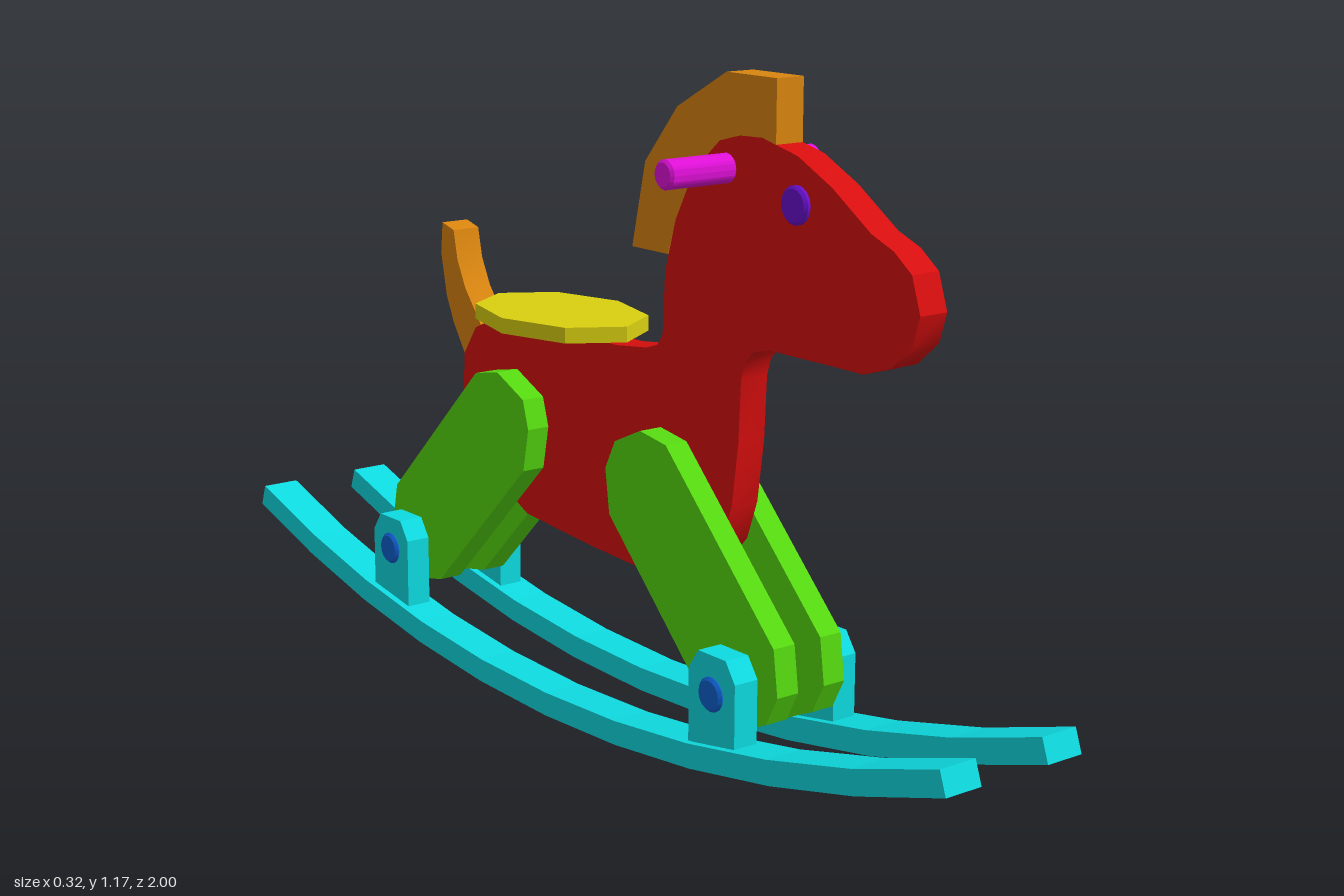
import * as THREE from 'three';
import { toCreasedNormals } from 'three/addons/utils/BufferGeometryUtils.js';

const paint = (color) => new THREE.MeshStandardMaterial({ color });
const RED = paint(0xd80e0e), CYAN = paint(0x0edbe0), GREEN = paint(0x55d810), YELLOW = paint(0xd8d010);
const ORANGE = paint(0xd9850f), MAGENTA = paint(0xe010d8), PURPLE = paint(0x6a10d0), BLUE = paint(0x1060d0);

// Board cut from a side outline of [z, y] points, standing between x0 and x1
function board(name, points, x0, x1, material, crease = 0.6) {
  const shape = new THREE.Shape(points.map(([z, y]) => new THREE.Vector2(z, y)));
  const geo = new THREE.ExtrudeGeometry(shape, { depth: x1 - x0, bevelEnabled: false });
  geo.rotateY(-Math.PI / 2).translate(x1, 0, 0);
  const mesh = new THREE.Mesh(toCreasedNormals(geo, crease), material);
  mesh.name = name;
  return mesh;
}

// Round peg lying across the toy, with chamfered ends
function peg(name, radius, x0, x1, y, z, material, sides = 16) {
  const h = (x1 - x0) / 2, c = 0.005;
  const profile = [[0, -h], [radius - c, -h], [radius, c - h], [radius, h - c], [radius - c, h], [0, h]];
  const geo = new THREE.LatheGeometry(profile.map(([r, t]) => new THREE.Vector2(r, t)), sides);
  geo.rotateZ(-Math.PI / 2);
  const mesh = new THREE.Mesh(toCreasedNormals(geo, 0.5), material);
  mesh.position.set((x0 + x1) / 2, y, z);
  mesh.name = name;
  return mesh;
}

// Leg outline: half of the corners, the rest by a half turn about the middle
const legOutline = (cz, cy, half) => [...half, ...half.map(([z, y]) => [2 * cz - z, 2 * cy - y])];

// Rocker: faceted arc
function rockerOutline(radius, thickness, reach, steps) {
  const outer = [], inner = [], span = Math.asin(reach / radius);
  for (let i = 0; i <= steps; i++) {
    const a = span * (2 * i / steps - 1);
    outer.push([radius * Math.sin(a), radius * (1 - Math.cos(a))]);
    inner.unshift([(radius - thickness) * Math.sin(a), radius - (radius - thickness) * Math.cos(a)]);
  }
  return [...outer, ...inner];
}

const bracketOutline = (z, bottom, top) => [
  [z - 0.059, bottom], [z + 0.059, bottom], [z + 0.059, top - 0.035],
  [z + 0.035, top], [z - 0.035, top], [z - 0.059, top - 0.035]];

export function createModel() {
  const model = new THREE.Group();
  model.name = 'rockingHorse';

  // Head and body
  const crest = [[0.435, 1.07], [0.38, 1.068], [0.33, 1.055], [0.265, 1.0], [0.217, 0.91], [0.19, 0.82]];
  model.add(board('body', [
    [0.80, 0.84], [0.78, 0.90], [0.74, 0.93], [0.69, 0.95], [0.60, 1.01], [0.52, 1.05], ...crest,
    [0.184, 0.71], [0.17, 0.69], [0.14, 0.68], [0.056, 0.67], [-0.285, 0.67], [-0.377, 0.63],
    [-0.415, 0.575], [-0.42, 0.50], [-0.38, 0.42], [-0.31, 0.35], [-0.215, 0.305], [-0.02, 0.29],
    [0.195, 0.28], [0.3, 0.33], [0.345, 0.38], [0.37, 0.45], [0.385, 0.56], [0.39, 0.67],
    [0.40, 0.70], [0.42, 0.72], [0.46, 0.73], [0.68, 0.73], [0.74, 0.75], [0.785, 0.79]], -0.028, 0.028, RED));

  // Mane follows the crest of the neck
  model.add(board('mane', [
    [0.468, 1.062], [0.468, 1.167], [0.345, 1.167], [0.22, 1.10], [0.135, 1.0], [0.10, 0.85], [0.197, 0.85],
    ...crest.slice(0, 5).reverse()], -0.028, 0.028, ORANGE, 0.2));

  // Tail
  model.add(board('tail', [
    [-0.447, 0.805], [-0.484, 0.815], [-0.49, 0.757], [-0.473, 0.677], [-0.45, 0.627], [-0.415, 0.575],
    [-0.377, 0.63], [-0.36, 0.638], [-0.41, 0.70], [-0.435, 0.75]], -0.028, 0.028, ORANGE, 0.5));

  // Seat
  const seat = new THREE.Mesh(
    toCreasedNormals(new THREE.CylinderGeometry(1, 1, 0.028, 8).scale(0.13, 1, 0.195), 0.2), YELLOW);
  seat.position.set(0, 0.684, -0.145);
  seat.name = 'seat';
  model.add(seat);

  // Handle and eyes
  model.add(peg('handle', 0.025, -0.16, 0.16, 1.012, 0.347, MAGENTA));
  model.add(peg('eyes', 0.032, -0.038, 0.038, 0.973, 0.52, PURPLE));

  const frontLeg = legOutline(0.313, 0.318, [[0.25, 0.537], [0.18, 0.548], [0.11, 0.516], [0.083, 0.463], [0.094, 0.382]]);
  const backLeg = legOutline(-0.377, 0.345, [[-0.163, 0.404], [-0.147, 0.484], [-0.163, 0.537], [-0.243, 0.574], [-0.313, 0.56]]);
  const rocker = rockerOutline(3.05, 0.043, 1, 10);
  const axles = [
    { part: 'front', z: 0.447, y: 0.166, top: 0.233, bottom: 0.05 },
    { part: 'back', z: -0.524, y: 0.184, top: 0.245, bottom: 0.065 }];

  // Legs, rockers, brackets and bolts on both sides
  for (const [label, s] of [['Left', 1], ['Right', -1]]) {
    const sided = (name, pts, near, far, mat, crease) =>
      model.add(board(name + label, pts, Math.min(s * near, s * far), Math.max(s * near, s * far), mat, crease));
    sided('frontLeg', frontLeg, 0.028, 0.073, GREEN, 0.3);
    sided('backLeg', backLeg, 0.028, 0.073, GREEN, 0.3);
    sided('rocker', rocker, 0.071, 0.145, CYAN, 0.05);
    for (const a of axles) {
      sided(a.part + 'Bracket', bracketOutline(a.z, a.bottom, a.top), 0.084, 0.132, CYAN, 0.3);
      const ends = [s * 0.073, s * 0.139].sort((p, q) => p - q);
      model.add(peg(a.part + 'Bolt' + label, 0.03, ends[0], ends[1], a.y, a.z, BLUE));
    }
  }

  // Axles through the legs
  for (const a of axles) model.add(peg(a.part + 'Axle', 0.021, -0.084, 0.084, a.y, a.z, MAGENTA));

  return model;
}
